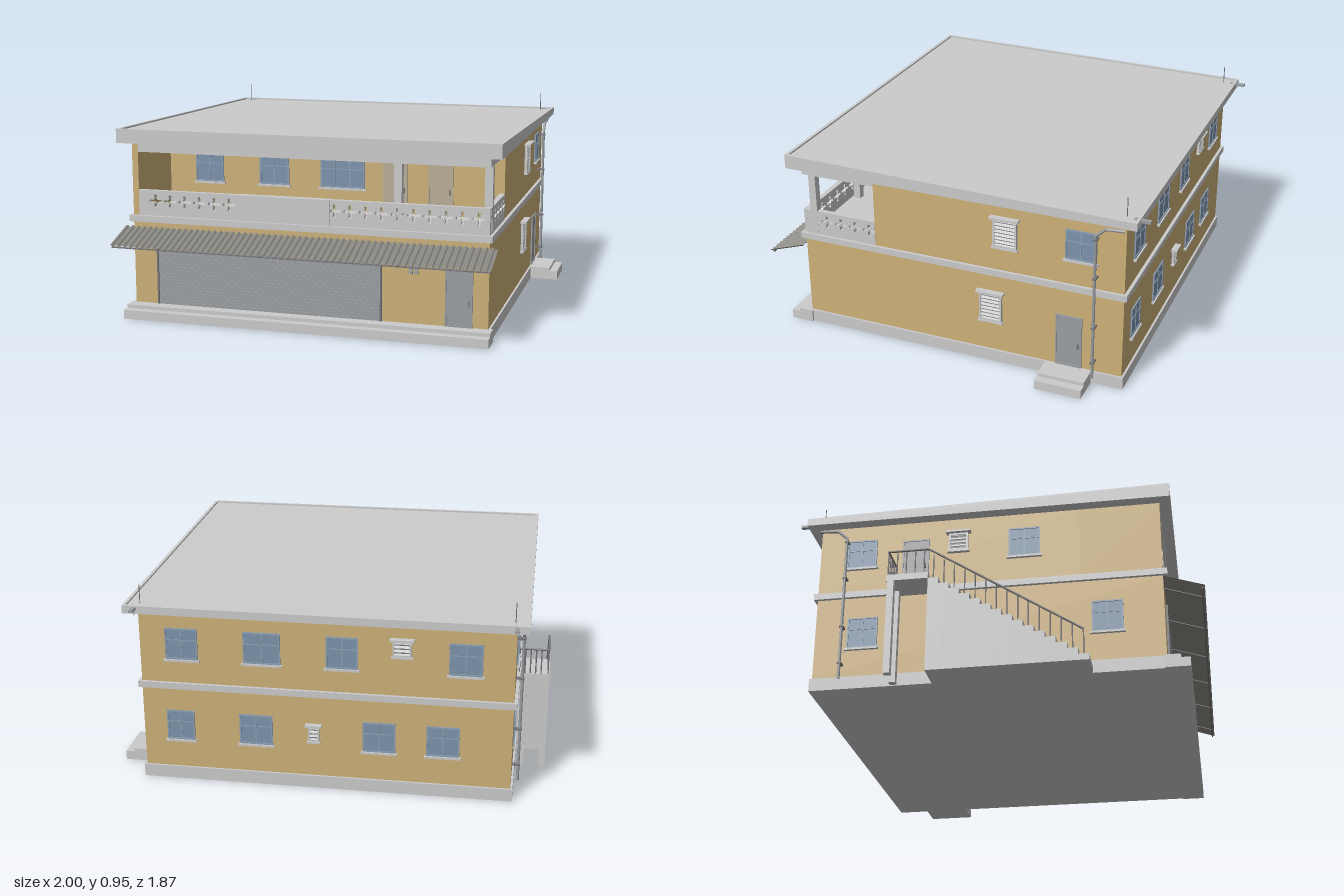
import * as THREE from 'three';

const mat = (color) => new THREE.MeshStandardMaterial({ color });
const grey = mat(0xcccccc), gold = mat(0xcdb178), blue = mat(0x7d93ac), slate = mat(0x9b9fa2);
const beige = mat(0xb9ad97), dark = mat(0x77757a), blueFrame = mat(0x8da0b3);
const sheet = new THREE.MeshStandardMaterial({ color: 0x8a8882, side: THREE.DoubleSide });

function add(parent, name, geometry, material) {
  const mesh = new THREE.Mesh(geometry, material);
  mesh.name = name;
  parent.add(mesh);
  return mesh;
}

// Box given by its limits on each axis
function box(parent, name, m, x0, x1, y0, y1, z0, z1) {
  const mesh = add(parent, name, new THREE.BoxGeometry(x1 - x0, y1 - y0, z1 - z0), m);
  mesh.position.set((x0 + x1) / 2, (y0 + y1) / 2, (z0 + z1) / 2);
  return mesh;
}

// Round bar between two points
function bar(parent, name, m, a, b, r) {
  const p = new THREE.Vector3(...a), q = new THREE.Vector3(...b);
  const mesh = add(parent, name, new THREE.CylinderGeometry(r, r, p.distanceTo(q), 8), m);
  mesh.position.copy(p).add(q).multiplyScalar(0.5);
  mesh.quaternion.setFromUnitVectors(new THREE.Vector3(0, 1, 0), q.sub(p).normalize());
  return mesh;
}

// Group on a wall: local x along the wall, local z outwards
function onWall(root, side, along, name) {
  const g = new THREE.Group();
  g.name = name;
  if (side === 'balcony') g.position.set(along, 0, 0.38);
  if (side === 'front') g.position.set(along, 0, 0.75);
  if (side === 'right') { g.position.set(0.85, 0, along); g.rotation.y = Math.PI / 2; }
  if (side === 'back') { g.position.set(along, 0, -0.83); g.rotation.y = Math.PI; }
  if (side === 'left') { g.position.set(-0.85, 0, along); g.rotation.y = -Math.PI / 2; }
  root.add(g);
  return g;
}

function frame(g, m, w, y0, y1, t, d) {
  const h = w / 2;
  box(g, 'frameLeft', m, -h, -h + t, y0, y1, 0, d);
  box(g, 'frameRight', m, h - t, h, y0, y1, 0, d);
  box(g, 'frameTop', m, -h + t, h - t, y1 - t, y1, 0, d);
  box(g, 'frameBottom', m, -h + t, h - t, y0, y0 + t, 0, d);
}

function windowUnit(root, side, along, w, y0, y1) {
  const g = onWall(root, side, along, 'window');
  box(g, 'glass', blue, -w / 2, w / 2, y0, y1, -0.01, 0.003);
  frame(g, blueFrame, w, y0, y1, 0.007, 0.007);
  const n = w > 0.18 ? 3 : 2;
  for (let i = 1; i < n; i++) {
    const x = -w / 2 + w * i / n;
    box(g, 'mullion', blueFrame, x - 0.003, x + 0.003, y0, y1, 0, 0.006);
  }
  const ym = y0 + (y1 - y0) * 0.62;
  box(g, 'transom', blueFrame, -w / 2, w / 2, ym - 0.002, ym + 0.002, 0, 0.006);
  box(g, 'sill', grey, -w / 2 - 0.008, w / 2 + 0.008, y0 - 0.01, y0, 0, 0.014);
}

function louver(root, side, along, w, y0, y1) {
  const g = onWall(root, side, along, 'louverWindow');
  box(g, 'backing', dark, -w / 2, w / 2, y0, y1, -0.01, 0.002);
  frame(g, grey, w, y0, y1, 0.009, 0.014);
  const n = Math.max(4, Math.round((y1 - y0) / 0.018));
  for (let i = 0; i < n; i++) {
    const s = add(g, 'slat', new THREE.BoxGeometry(w - 0.016, 0.012, 0.003), grey);
    s.position.set(0, y0 + (i + 0.5) * (y1 - y0) / n, 0.008);
    s.rotation.x = -0.45;
  }
  box(g, 'hood', grey, -w / 2 - 0.012, w / 2 + 0.012, y1, y1 + 0.01, 0, 0.03);
  box(g, 'sill', grey, -w / 2 - 0.006, w / 2 + 0.006, y0 - 0.008, y0, 0, 0.018);
}

function door(root, side, along, w, y0, y1, m) {
  const g = onWall(root, side, along, 'door');
  box(g, 'doorLeaf', m, -w / 2, w / 2, y0, y1, -0.01, 0.003);
  frame(g, m, w, y0, y1, 0.007, 0.007);
  box(g, 'doorHandle', dark, w / 2 - 0.02, w / 2 - 0.014, y0 + 0.1, y0 + 0.125, 0, 0.012);
}

// Four-lobed opening
function lobedHole(cx, cy) {
  const pts = [];
  for (let i = 0; i < 48; i++) {
    const a = i / 48 * Math.PI * 2, r = 0.009 + 0.022 * Math.pow(Math.abs(Math.cos(2 * a)), 0.8) * (Math.cos(2 * a) ** 2 > 0 ? 1 : 0);
    // lobes only on the axes
    const k = Math.max(Math.abs(Math.cos(a)), Math.abs(Math.sin(a)));
    const rr = k > 0.924 ? r : 0.012;
    pts.push(new THREE.Vector2(cx + rr * Math.cos(a), cy + rr * Math.sin(a)));
  }
  return new THREE.Path(pts.reverse());
}

function balustrade(parent, name, x0, x1, centres) {
  const s = new THREE.Shape([[x0, 0.48], [x1, 0.48], [x1, 0.605], [x0, 0.605]].map(p => new THREE.Vector2(...p)));
  for (const c of centres) s.holes.push(lobedHole(c, 0.555));
  return add(parent, name, new THREE.ExtrudeGeometry(s, { depth: 0.025, bevelEnabled: false }), grey);
}

export function createModel() {
  const root = new THREE.Group();
  root.name = 'house';

  // Plinth, front steps, side step
  box(root, 'plinth', grey, -0.86, 0.86, 0, 0.06, -0.84, 0.75);
  box(root, 'frontStepUpper', grey, -0.87, 0.87, 0, 0.06, 0.74, 0.81);
  box(root, 'frontStepLower', grey, -0.87, 0.87, 0, 0.043, 0.81, 0.85);
  box(root, 'sideStepUpper', grey, 0.85, 0.96, 0, 0.06, -0.69, -0.47);
  box(root, 'sideStepLower', grey, 0.96, 1, 0, 0.043, -0.69, -0.47);

  // Walls, floor band, balcony surround
  box(root, 'groundFloor', gold, -0.85, 0.85, 0.06, 0.455, -0.83, 0.75);
  box(root, 'floorBand', grey, -0.865, 0.865, 0.455, 0.485, -0.845, 0.77);
  box(root, 'upperFloor', gold, -0.85, 0.85, 0.485, 0.83, -0.83, 0.38);
  box(root, 'balconyEndWall', gold, -0.85, -0.82, 0.485, 0.83, 0.38, 0.75);
  box(root, 'frontBeam', grey, -0.82, 0.85, 0.785, 0.83, 0.68, 0.75);
  box(root, 'sideBeam', grey, 0.82, 0.85, 0.785, 0.83, 0.38, 0.68);
  for (const x of [0.425, 0.835]) box(root, 'balconyPost', grey, x - 0.018, x + 0.018, 0.485, 0.785, 0.68, 0.715);

  // Pierced balustrade
  const row = (start, n) => Array.from({ length: n }, (_, i) => start + i * 0.0735);
  balustrade(root, 'frontBalustrade', -0.82, 0.85, [...row(-0.735, 6), ...row(0.14, 10), -0.79]).position.z = 0.728;
  box(root, 'solidBalustrade', grey, -0.32, 0.12, 0.485, 0.605, 0.72, 0.757);
  const side = balustrade(root, 'sideBalustrade', -0.73, -0.38, row(-0.71, 5).map(v => v + 0.005));
  side.rotation.y = Math.PI / 2;
  side.position.x = 0.827;

  // Roof slab falling to the back, with a raised lip
  const roofTop = (z) => 0.897 - (0.8 - z) * 0.018;
  const slope = (mesh) => {
    const p = mesh.geometry.attributes.position;
    for (let i = 0; i < p.count; i++) if (p.getY(i) > 0)
      p.setY(i, p.getY(i) + roofTop(p.getZ(i) + mesh.position.z) - 0.897);
    mesh.geometry.computeVertexNormals();
  };
  slope(box(root, 'roofSlab', grey, -0.89, 0.89, 0.83, 0.889, -0.875, 0.785));
  for (const s of [-1, 1]) slope(box(root, 'roofSideLip', grey, s * 0.8975 - 0.0075, s * 0.8975 + 0.0075, 0.83, 0.897, -0.89, 0.8));
  slope(box(root, 'roofFrontLip', grey, -0.89, 0.89, 0.83, 0.897, 0.785, 0.8));
  slope(box(root, 'roofBackLip', grey, -0.89, 0.89, 0.83, 0.897, -0.89, -0.875));

  // Roof rods, spouts and downpipes on both back corners
  for (const s of [-1, 1]) {
    bar(root, 'roofRod', dark, [s * 0.84, 0.86, -0.825], [s * 0.84, 0.95, -0.825], 0.002);
    box(root, 'roofSpout', slate, s * 0.85 - 0.01, s * 0.85 + 0.01, 0.85, 0.862, -0.935, -0.86);
    const path = new THREE.CurvePath();
    const pts = [[0.04, -0.7], [0.76, -0.7], [0.8, -0.745], [0.805, -0.83]].map(p => new THREE.Vector3(s * 0.878, ...p));
    for (let i = 0; i < 3; i++) path.add(new THREE.LineCurve3(pts[i], pts[i + 1]));
    add(root, 'downpipe', new THREE.TubeGeometry(path, 60, 0.007, 8), slate);
    for (const y of [0.12, 0.3, 0.55, 0.74]) box(root, 'pipeBracket', dark, s * 0.868 - 0.02, s * 0.868 + 0.02, y - 0.004, y + 0.004, -0.709, -0.691);
  }

  // Corrugated awning and its struts
  const awning = new THREE.PlaneGeometry(1.78, 1, 240, 1);
  const p = awning.attributes.position;
  for (let i = 0; i < p.count; i++) {
    const v = p.getY(i) + 0.5, ridge = (i % 241) % 4 < 2 ? 0.004 : -0.004;
    p.setXYZ(i, p.getX(i), 0.368 + 0.06 * v + ridge, 0.93 - 0.18 * v);
  }
  const flat = awning.toNonIndexed();
  flat.computeVertexNormals();
  add(root, 'awning', flat, sheet);
  for (let i = 0; i < 6; i++) {
    const x = -0.79 + i * 0.316;
    bar(root, 'awningStrut', dark, [x, 0.42, 0.75], [x, 0.361, 0.925], 0.004);
  }
  box(root, 'awningRail', dark, -0.885, 0.885, 0.358, 0.364, 0.915, 0.922);

  // Ground floor front: rolling shutter, door, meters
  box(root, 'shutterPanel', slate, -0.73, 0.36, 0.06, 0.37, 0.74, 0.753);
  for (let i = 0; i < 20; i++) {
    const y = 0.06 + i * 0.0155;
    box(root, 'shutterSlat', slate, -0.725, 0.355, y + 0.002, y + 0.0135, 0.75, 0.757);
  }
  for (const x of [-0.73, 0.36]) box(root, 'shutterRail', dark, x - 0.004, x + 0.004, 0.06, 0.37, 0.75, 0.76);
  door(root, 'front', 0.717, 0.125, 0.06, 0.32, slate);
  box(root, 'meterShelf', slate, 0.48, 0.54, 0.33, 0.355, 0.75, 0.775);
  for (const x of [0.497, 0.523]) for (const y of [0.298, 0.317])
    box(root, 'meter', slate, x - 0.009, x + 0.009, y - 0.007, y + 0.007, 0.75, 0.765);

  // Balcony windows and doors
  for (const [x, w] of [[-0.61, 0.145], [-0.275, 0.15], [0.07, 0.22]]) windowUnit(root, 'balcony', x, w, 0.595, 0.74);
  for (const x of [0.33, 0.55]) door(root, 'balcony', x, 0.12, 0.485, 0.735, beige);

  // Right side openings
  windowUnit(root, 'right', -0.628, 0.145, 0.61, 0.755);
  louver(root, 'right', -0.272, 0.115, 0.605, 0.745);
  louver(root, 'right', -0.2, 0.11, 0.215, 0.36);
  door(root, 'right', -0.578, 0.125, 0.06, 0.32, slate);

  // Back openings
  for (const [x, w] of [[0.656, 0.15], [0.285, 0.17], [-0.08, 0.145], [-0.633, 0.15]]) windowUnit(root, 'back', x, w, 0.6, 0.75);
  for (const [x, w] of [[0.674, 0.13], [0.319, 0.155], [-0.25, 0.15], [-0.54, 0.15]]) windowUnit(root, 'back', x, w, 0.2, 0.345);
  louver(root, 'back', -0.35, 0.085, 0.675, 0.75);
  louver(root, 'back', 0.05, 0.05, 0.235, 0.31);

  // Left side openings
  windowUnit(root, 'left', -0.63, 0.14, 0.61, 0.755);
  windowUnit(root, 'left', 0.13, 0.145, 0.61, 0.755);
  louver(root, 'left', -0.175, 0.09, 0.66, 0.75);
  windowUnit(root, 'left', -0.61, 0.14, 0.2, 0.35);
  windowUnit(root, 'left', 0.5, 0.14, 0.2, 0.35);
  door(root, 'left', -0.375, 0.125, 0.485, 0.735, slate);

  // Outside stair on the left: solid flight, landing on columns, railing
  const n = 15, run = 0.71 / n, rise = 0.48 / (n + 1);
  for (let i = 0; i < n; i++) {
    const z = 0.43 - i * run, y = (i + 1) * rise;
    box(root, 'stairStep', grey, -1, -0.85, 0, y, z - run, z);
    bar(root, 'stairBaluster', dark, [-0.992, y, z - run / 2], [-0.992, y + 0.12, z - run / 2], 0.003);
  }
  bar(root, 'stairHandrail', dark, [-0.992, rise + 0.12, 0.43 - run / 2], [-0.992, 0.6, -0.28], 0.005);
  box(root, 'landing', grey, -1, -0.85, 0.45, 0.48, -0.47, -0.28);
  for (const x of [-0.985, -0.885]) box(root, 'landingColumn', grey, x - 0.015, x + 0.015, 0, 0.45, -0.465, -0.435);
  bar(root, 'landingSideRail', dark, [-0.992, 0.6, -0.28], [-0.992, 0.6, -0.465], 0.005);
  bar(root, 'landingEndRail', dark, [-0.992, 0.6, -0.465], [-0.85, 0.6, -0.465], 0.005);
  for (let i = 0; i < 5; i++) {
    bar(root, 'landingBaluster', dark, [-0.992, 0.48, -0.3 - i * 0.041], [-0.992, 0.6, -0.3 - i * 0.041], 0.003);
    bar(root, 'landingBaluster', dark, [-0.96 + i * 0.025, 0.48, -0.465], [-0.96 + i * 0.025, 0.6, -0.465], 0.003);
  }
  return root;
}
